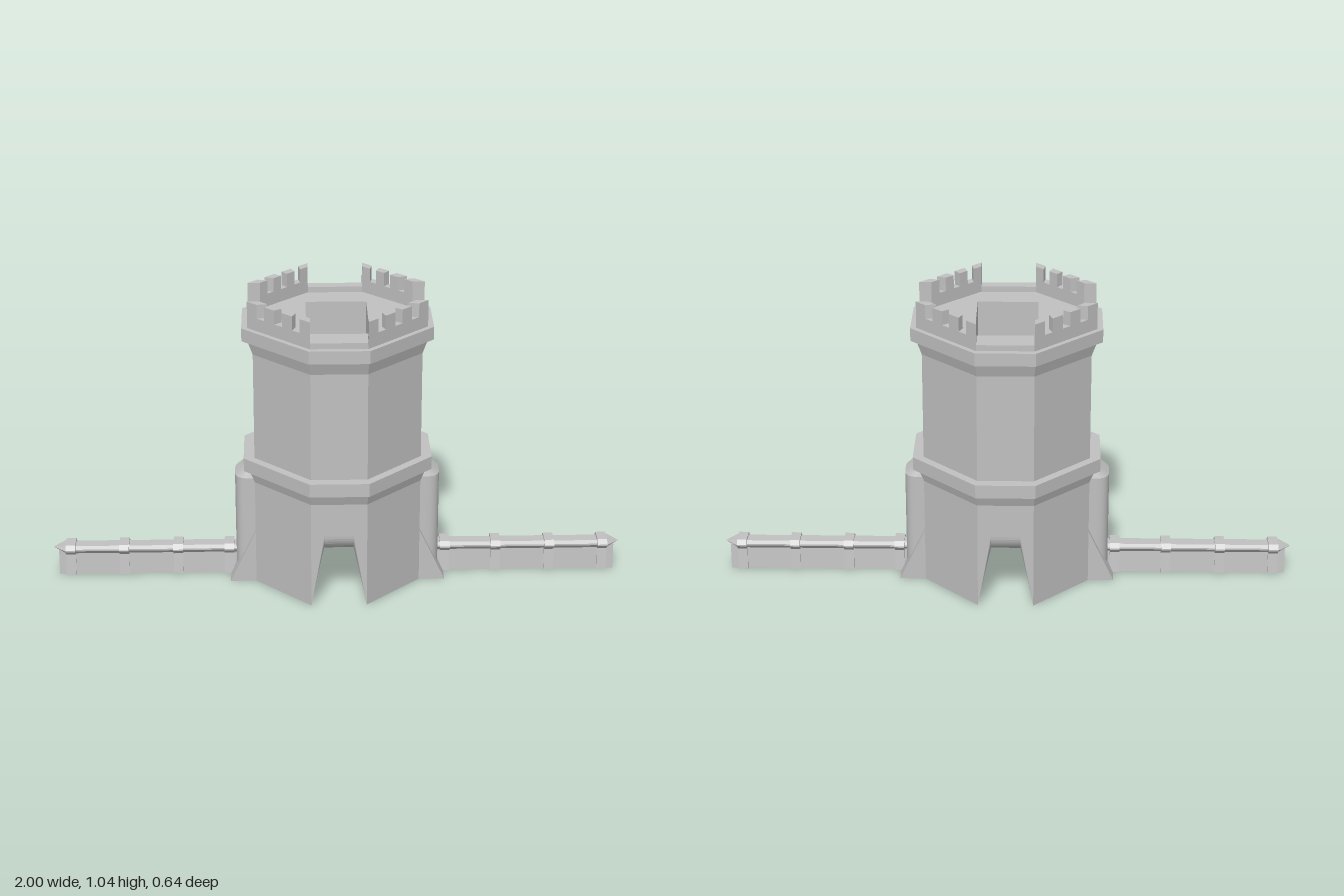
import * as THREE from 'three';

const stone = new THREE.MeshStandardMaterial({ color: 0xc0c0c0, side: THREE.DoubleSide });
stone.name = 'grey stone';

const V = (x, y, z) => new THREE.Vector3(x, y, z);

function add(parent, name, geometry) {
  const mesh = new THREE.Mesh(geometry, stone);
  mesh.name = name;
  parent.add(mesh);
  return mesh;
}

function shape(points) {
  return new THREE.Shape(points.map(([x, y]) => new THREE.Vector2(x, y)));
}

// Skin between successive rings of points; skip(k, i) leaves a face open.
function loft(rings, { closed = true, smooth = false, skip = () => false } = {}) {
  const n = rings[0].length, index = [];
  for (let k = 0; k < rings.length - 1; k++) {
    for (let i = 0; i < (closed ? n : n - 1); i++) {
      if (skip(k, i)) continue;
      const j = (i + 1) % n;
      const a = k * n + i, b = k * n + j, c = b + n, d = a + n;
      index.push(a, b, c, a, c, d);
    }
  }
  let g = new THREE.BufferGeometry().setFromPoints(rings.flat());
  g.setIndex(index);
  if (!smooth) g = g.toNonIndexed();
  g.computeVertexNormals();
  return g;
}

// Octagon with flat sides of half width b at distance a
const octagon = (a, b) => [[b, a], [a, b], [a, -b], [b, -a], [-b, -a], [-a, -b], [-a, b], [-b, a]];

// Upright prism from a plan outline
function prism(plan, y0, y1) {
  const g = new THREE.ExtrudeGeometry(shape(plan.map(([x, z]) => [x, -z])), { depth: y1 - y0, bevelEnabled: false });
  return g.rotateX(-Math.PI / 2).translate(0, y0, 0);
}

// Profile (z, y), mirrored in z, swept along x
function sweep(half, x0, x1) {
  const mirrored = half.map(([z, y]) => [-z, y]).reverse();
  const g = new THREE.ExtrudeGeometry(shape([...half, ...mirrored]), { depth: x1 - x0, bevelEnabled: false });
  return g.rotateY(Math.PI / 2).translate(x0, 0, 0);
}

const WALL = 0.285, SIDE = 0.095, TOP = 0.05, ROOM = 0.105, LONG = 0.16, FLOOR = 0.472, ROOF = 0.945;

// Tapered doorway with a rounded lintel, facing +z
function doorway({ y0, outer, inner, wallTop, roomTop, depth, roomHalf, sill }) {
  const g = new THREE.Group();
  g.name = 'doorway';
  const face = (half, head, top) => {
    const right = [[SIDE, y0], [half, y0], [half, top]];
    if (half === SIDE) right.shift();
    return new THREE.ShapeGeometry(shape([[-TOP, head], [TOP, head], ...right,
      ...right.map(([x, y]) => [-x, y]).reverse()]));
  };
  add(g, 'doorFront', face(SIDE, outer, wallTop).translate(0, 0, WALL));
  add(g, 'doorBack', face(roomHalf, inner, roomTop).rotateY(Math.PI).translate(0, 0, depth));
  const slices = [];
  for (let i = 0; i <= 10; i++) {
    const t = (i / 10) * Math.PI / 2;
    slices.push([WALL - 0.08 * (1 - Math.cos(t)), outer - (outer - inner) * Math.sin(t)]);
  }
  slices.push([depth, inner]);
  add(g, 'doorPassage', loft(slices.map(([z, h]) =>
    [V(SIDE, y0, z), V(TOP, h, z), V(-TOP, h, z), V(-SIDE, y0, z)]), { closed: sill }));
  return g;
}

function tower() {
  const g = new THREE.Group();
  g.name = 'tower';

  // Outer walls with flared bands; doorway faces stay open
  const profile = [[0, WALL, SIDE], [0.38, WALL, SIDE], [0.425, 0.303, 0.097], [0.425, 0.322, 0.1],
    [FLOOR, 0.322, 0.1], [FLOOR, WALL, SIDE], [0.85, WALL, SIDE], [0.9, 0.303, 0.097],
    [0.9, 0.322, 0.1], [ROOF, 0.322, 0.1]];
  add(g, 'outerWalls', loft(profile.map(([y, a, b]) => octagon(a, b).map(([x, z]) => V(x, y, z))), {
    skip: (k, i) => (k === 0 && (i === 3 || i === 7)) || (k === 5 && (i === 1 || i === 5)),
  }));

  // Roof deck with shaft opening
  const deck = shape(octagon(0.322, 0.1));
  deck.holes.push(shape([[-ROOM, -LONG], [-ROOM, LONG], [ROOM, LONG], [ROOM, -LONG]]));
  add(g, 'roofDeck', new THREE.ShapeGeometry(deck).rotateX(-Math.PI / 2).translate(0, ROOF, 0));

  for (const s of [0, 1]) {
    const half = new THREE.Group();
    half.name = 'towerHalf';
    half.rotation.y = s * Math.PI;
    g.add(half);

    // Lower doorway front and back, upper doorway on the sides
    half.add(doorway({ y0: 0, outer: 0.262, inner: 0.192, wallTop: 0.38, roomTop: FLOOR,
      depth: ROOM, roomHalf: ROOM, sill: false }));
    const upper = doorway({ y0: FLOOR, outer: 0.735, inner: 0.663, wallTop: 0.85, roomTop: ROOF,
      depth: ROOM, roomHalf: LONG, sill: true });
    upper.rotation.y = Math.PI / 2;
    half.add(upper);

    // Inner room walls, ledge and underside
    add(half, 'lowerRoomWall', new THREE.PlaneGeometry(2 * ROOM, FLOOR)
      .rotateY(-Math.PI / 2).translate(ROOM, FLOOR / 2, 0));
    add(half, 'upperRoomWall', new THREE.PlaneGeometry(2 * ROOM, ROOF - FLOOR)
      .rotateY(Math.PI).translate(0, (ROOF + FLOOR) / 2, LONG));
    add(half, 'roomLedge', new THREE.PlaneGeometry(2 * ROOM, LONG - ROOM)
      .rotateX(-Math.PI / 2).translate(0, FLOOR, (LONG + ROOM) / 2));
    add(half, 'underside', new THREE.ShapeGeometry(shape([[SIDE, WALL], [WALL, SIDE], [WALL, -SIDE],
      [SIDE, -WALL], [SIDE, -ROOM], [ROOM, -ROOM], [ROOM, ROOM], [SIDE, ROOM]])).rotateX(Math.PI / 2));
  }

  // Parapets: low kerbs on the flat sides, battlements on the diagonals
  for (let q = 0; q < 4; q++) {
    const p = new THREE.Group();
    p.name = 'parapet';
    p.rotation.y = q * Math.PI / 2;
    g.add(p);
    add(p, 'kerb', new THREE.BoxGeometry(2 * SIDE, 0.02, 0.042).translate(0, ROOF + 0.01, 0.279));
    const strip = (t0, t1) => {
      const at = (r, t) => [SIDE + (r - SIDE) * t, r + (SIDE - r) * t];
      return [at(0.302, t0), at(0.302, t1), at(0.26, t1), at(0.26, t0)];
    };
    add(p, 'battlementBase', prism(strip(0, 1), ROOF, 0.99));
    const w = 0.16, step = (1 - w) / 3;
    for (let i = 0; i < 4; i++) add(p, 'merlon', prism(strip(i * step, i * step + w), 0.99, 1.038));
  }
  return g;
}

// Buttress and low wall running out along +x
function wing() {
  const g = new THREE.Group();
  g.name = 'wing';

  const foot = new THREE.ExtrudeGeometry(shape([[0.27, 0], [0.375, 0], [0.285, 0.19], [0.27, 0.19]]),
    { depth: 2 * SIDE, bevelEnabled: false });
  add(g, 'slopedFoot', foot.translate(0, 0, -SIDE));

  const ring = (y, rx, rz) => Array.from({ length: 25 }, (_, i) => {
    const t = (i / 24) * Math.PI, c = Math.cos(t), s = Math.sin(t);
    return V(0.285 + rx * Math.pow(Math.max(s, 0), 0.6), y, rz * Math.sign(c) * Math.pow(Math.abs(c), 0.6));
  });
  const low = ring(0, 0.07, 0.075), high = ring(0.385, 0.07, 0.075), tip = ring(0.425, 0.022, 0.063);
  add(g, 'buttress', loft([low, high], { closed: false, smooth: true }));
  add(g, 'buttressTop', loft([high, tip], { closed: false, smooth: true }));

  add(g, 'lowWall', sweep([[0.026, 0], [0.018, 0.077], [0.033, 0.092], [0.033, 0.098], [0.022, 0.107]], 0.33, 0.955));
  add(g, 'wallEnd', sweep([[0.026, 0], [0.018, 0.09]], 0.955, 0.98));
  for (const x of [0.38, 0.56, 0.75, 0.938]) {
    add(g, 'wallCollar', sweep([[0.034, 0], [0.023, 0.075], [0.044, 0.094], [0.044, 0.099], [0.03, 0.114]], x - 0.017, x + 0.017));
  }
  const cap = [[-0.028, 0.11], [0.028, 0.11], [0.042, 0.096], [0.02, 0.078], [-0.02, 0.078], [-0.042, 0.096]];
  add(g, 'wallTip', loft([cap.map(([z, y]) => V(0.955, y, z)), cap.map(() => V(1, 0.096, 0))]));
  return g;
}

export function createModel() {
  const model = new THREE.Group();
  model.name = 'watchtower';
  model.add(tower());
  for (const s of [0, 1]) {
    const w = wing();
    w.rotation.y = s * Math.PI;
    model.add(w);
  }
  return model;
}
